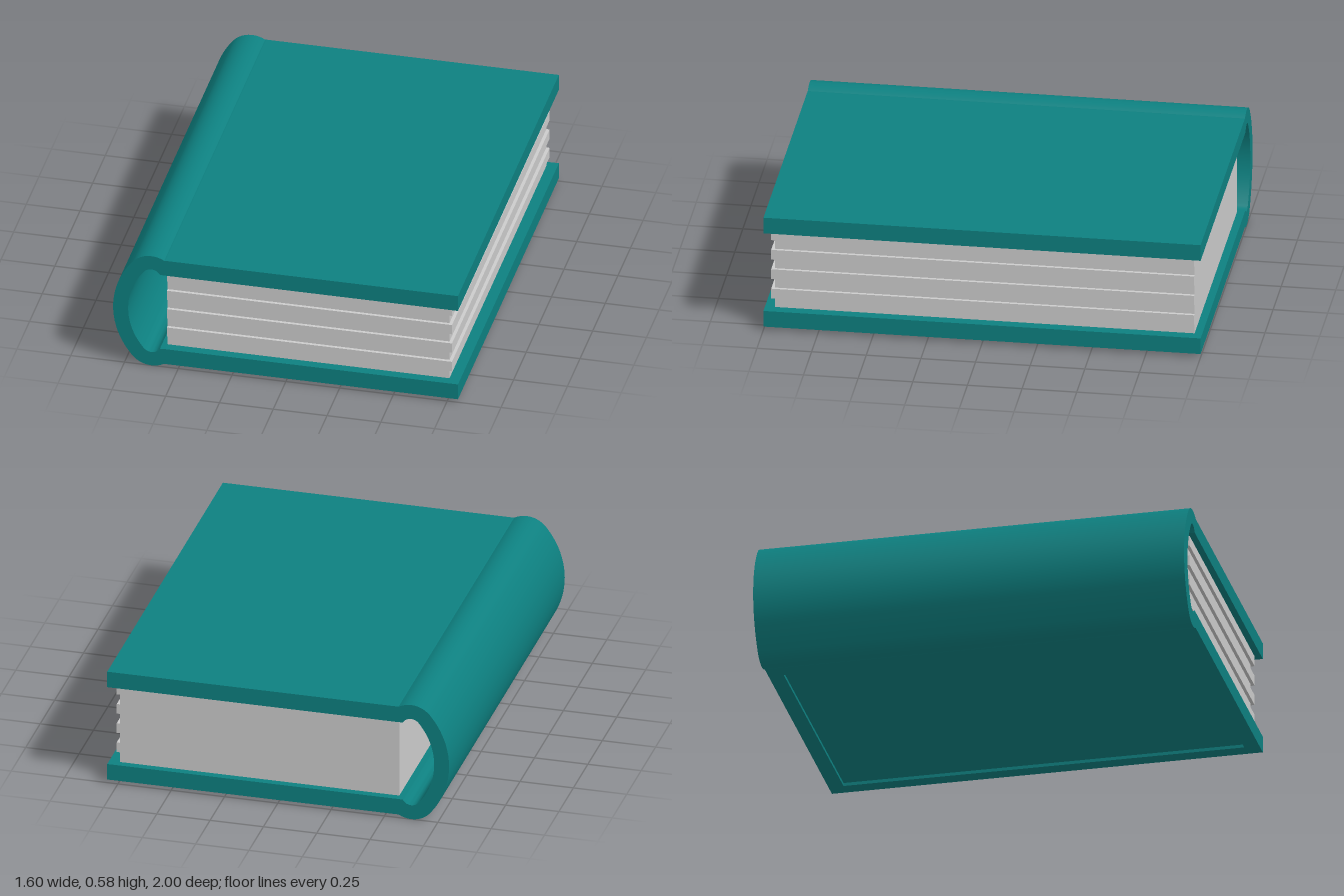
import * as THREE from 'three';
import { toCreasedNormals } from 'three/addons/utils/BufferGeometryUtils.js';

const MID = 0.288;             // height of the book's middle plane
const INNER = 0.194, OUTER = 0.272; // cover faces, measured from the middle plane
const HINGE = -0.56, FORE = 0.8, HALF = 1;

const coverMat = new THREE.MeshStandardMaterial({ color: 0x0d8080 });
const pageMat = new THREE.MeshStandardMaterial({ color: 0xcccccc });

function addMesh(parent, name, geometry, material) {
  const mesh = new THREE.Mesh(geometry, material);
  mesh.name = name;
  parent.add(mesh);
  return mesh;
}

function addBox(parent, name, material, x0, x1, y0, y1, z0, z1) {
  const mesh = addMesh(parent, name, new THREE.BoxGeometry(x1 - x0, y1 - y0, z1 - z0), material);
  mesh.position.set((x0 + x1) / 2, (y0 + y1) / 2, (z0 + z1) / 2);
  return mesh;
}

// Extrudes a plan outline (x, z) upward from height y
function addSlab(parent, name, material, shape, y, height) {
  const geometry = new THREE.ExtrudeGeometry(shape, { depth: height, bevelEnabled: false });
  geometry.rotateX(-Math.PI / 2);
  const mesh = addMesh(parent, name, geometry, material);
  mesh.position.y = y;
  return mesh;
}

// Appends points of an arc, angles in degrees
function arc(points, cx, cy, r, from, to, steps) {
  for (let i = 0; i <= steps; i++) {
    const a = THREE.MathUtils.degToRad(from + (to - from) * i / steps);
    points.push(new THREE.Vector2(cx + r * Math.cos(a), cy + r * Math.sin(a)));
  }
}

// One side of the spine: shoulder, broad back, shoulder
function spineCurve(points, offset, start) {
  const cx = -0.625, dy = 0.173;
  arc(points, cx, dy, 0.115 - offset, start, 140, 10);
  arc(points, -0.419, 0, 0.384 - offset, 141, 219, 20);
  arc(points, cx, -dy, 0.115 - offset, 220, 360 - start, 10);
}

function rectangle(x0, x1, z0, z1, Type = THREE.Shape) {
  return new Type([[x0, z0], [x1, z0], [x1, z1], [x0, z1]].map(p => new THREE.Vector2(...p)));
}

export function createModel() {
  const book = new THREE.Group();
  book.name = 'book';

  // Rounded hollow spine
  const outer = [new THREE.Vector2(HINGE, OUTER)], inner = [new THREE.Vector2(HINGE, INNER)];
  spineCurve(outer, 0, 59);
  spineCurve(inner, 0.07, 29);
  outer.push(new THREE.Vector2(HINGE, -OUTER));
  inner.push(new THREE.Vector2(HINGE, -INNER));
  const spineShape = new THREE.Shape([...outer, ...inner.reverse()]);
  const spineGeo = new THREE.ExtrudeGeometry(spineShape, { depth: 2 * HALF, bevelEnabled: false });
  const spine = addMesh(book, 'spine', toCreasedNormals(spineGeo, 0.4), coverMat);
  spine.position.set(0, MID, -HALF);

  // Front cover board
  addBox(book, 'frontCover', coverMat, HINGE, FORE, MID + INNER, MID + OUTER, -HALF, HALF);

  // Back cover board with a shallow recessed panel underneath
  const backCover = new THREE.Group();
  backCover.name = 'backCover';
  book.add(backCover);
  const recess = 0.015, inset = 0.07, bottom = MID - OUTER;
  addBox(backCover, 'backBoard', coverMat, HINGE, FORE, bottom + recess, MID - INNER, -HALF, HALF);
  const rim = rectangle(HINGE, FORE, -HALF, HALF);
  rim.holes.push(rectangle(HINGE + inset, FORE - inset, -HALF + inset, HALF - inset, THREE.Path));
  addSlab(backCover, 'backBoardRim', coverMat, rim, bottom, recess);

  // Page block, with every other bundle standing out at the front and fore edge
  const pages = new THREE.Group();
  pages.name = 'pages';
  book.add(pages);
  const x1 = 0.75, z0 = -0.965, z1 = 0.955, step = 0.015;
  addBox(pages, 'pageBlock', pageMat, HINGE, x1, MID - INNER, MID + INNER, z0, z1);
  const lip = new THREE.Shape([
    [HINGE, z1], [x1, z1], [x1, z0], [x1 + step, z0], [x1 + step, z1 + step], [HINGE, z1 + step],
  ].map(([x, z]) => new THREE.Vector2(x, -z)));
  const layer = 2 * INNER / 8;
  for (let i = 1; i < 8; i += 2) {
    addSlab(pages, 'pageBundle', pageMat, lip, MID - INNER + i * layer, layer);
  }
  return book;
}
